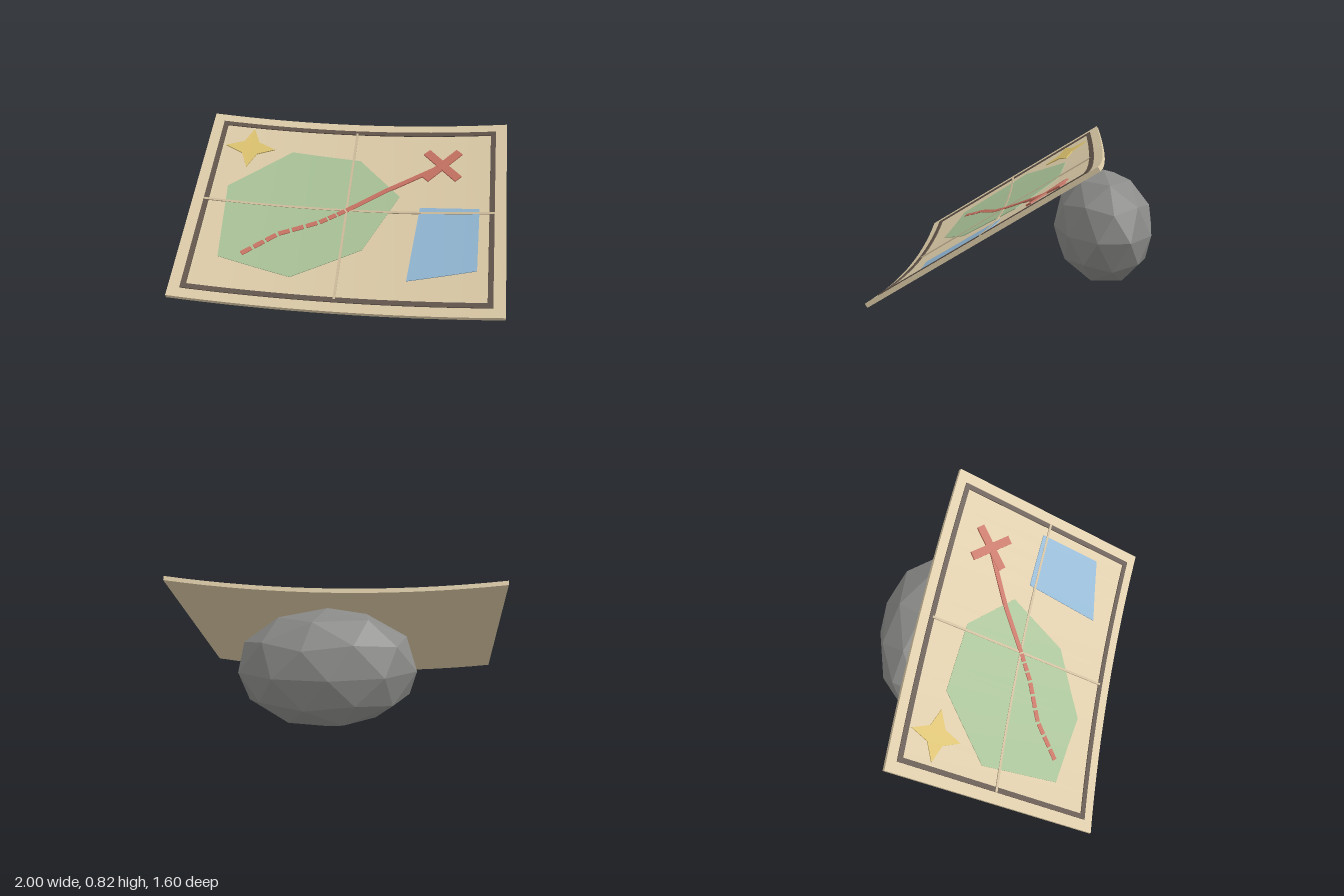
import * as THREE from 'three';

const mat = (name, color) => {
  const m = new THREE.MeshStandardMaterial({ color });
  m.name = name;
  return m;
};

const HALF_W = 0.937, HALF_D = 0.686, SAG = 0.06, COLUMNS = 16;
const bend = u => SAG * (u / HALF_W) ** 2;

// Curved slab: a polygon outline in (u, v) draped over the bent sheet between two heights
function drape(name, outline, top, bottom, material) {
  const us = outline.map(p => p[0]);
  const lo = Math.min(...us), hi = Math.max(...us);
  for (let i = 0; i <= COLUMNS; i++) {
    const u = -HALF_W + (2 * HALF_W * i) / COLUMNS;
    if (u > lo && u < hi) us.push(u);
  }
  us.sort((a, b) => a - b);
  const columns = us.filter((u, i) => i === 0 || u - us[i - 1] > 1e-4);

  // Cross-section of the slab at each column
  const rings = columns.map(u => {
    const vs = [];
    outline.forEach((p, i) => {
      const q = outline[(i + 1) % outline.length];
      if (u < Math.min(p[0], q[0]) - 1e-4 || u > Math.max(p[0], q[0]) + 1e-4) return;
      if (Math.abs(q[0] - p[0]) < 1e-4) vs.push(p[1], q[1]);
      else vs.push(p[1] + ((q[1] - p[1]) * (u - p[0])) / (q[0] - p[0]));
    });
    const a = Math.min(...vs), b = Math.max(...vs), y = bend(u);
    return [[a, top], [b, top], [b, bottom], [a, bottom]].map(([v, h]) => new THREE.Vector3(u, y + h, v));
  });

  const points = [];
  const quad = (a, b, c, d) => {
    for (const t of [[a, b, c], [a, c, d]]) {
      if (new THREE.Triangle(...t).getArea() > 1e-9) points.push(...t);
    }
  };
  for (let i = 0; i < rings.length - 1; i++) {
    for (let k = 0; k < 4; k++) {
      const n = (k + 1) % 4;
      quad(rings[i][k], rings[i][n], rings[i + 1][n], rings[i + 1][k]);
    }
  }
  const [s, e] = [rings[0], rings[rings.length - 1]];
  quad(s[3], s[2], s[1], s[0]);
  quad(e[0], e[1], e[2], e[3]);

  const geometry = new THREE.BufferGeometry().setFromPoints(points);
  geometry.computeVertexNormals();
  const mesh = new THREE.Mesh(geometry, material);
  mesh.name = name;
  return mesh;
}

const rect = (u0, v0, u1, v1) => [[u0, v0], [u1, v0], [u1, v1], [u0, v1]];

// Outline of a straight bar from p to q
function bar(p, q, width) {
  const du = q[0] - p[0], dv = q[1] - p[1];
  const k = width / 2 / Math.hypot(du, dv);
  const a = -dv * k, b = du * k;
  return [[p[0] + a, p[1] + b], [q[0] + a, q[1] + b], [q[0] - a, q[1] - b], [p[0] - a, p[1] - b]];
}

export function createModel() {
  const paper = mat('parchment', 0xd9c8a5);
  const crease = mat('crease beige', 0xcbb998);
  const ink = mat('dark ink', 0x5f5248);
  const green = mat('land green', 0xa6bf94);
  const blue = mat('water blue', 0x8fb4d0);
  const red = mat('route red', 0xc4705f);
  const gold = mat('star gold', 0xd9bf6c);
  const stone = mat('stone grey', 0x8a8a88);

  const model = new THREE.Group();
  const map = new THREE.Group();
  map.name = 'map';
  map.position.set(0.004, 0.411, 0.074);
  map.rotation.set(0.553, -0.123, 0, 'YXZ');
  model.add(map);
  const mark = (name, outline, height, material) => map.add(drape(name, outline, height, height - 0.0095, material));

  // Bent sheet
  map.add(drape('sheet', rect(-HALF_W, -HALF_D, HALF_W, HALF_D), 0, -0.025, paper));

  // Border frame
  const bu = 0.87, bv = 0.628, bw = 0.03;
  for (const s of [-1, 1]) {
    mark('borderLong', rect(-bu, s * (bv - bw / 2) - bw / 2, bu, s * (bv - bw / 2) + bw / 2), 0.006, ink);
    mark('borderShort', rect(s * (bu - bw / 2) - bw / 2, -bv + bw, s * (bu - bw / 2) + bw / 2, bv - bw), 0.006, ink);
  }

  // Land and water
  mark('land', [[-0.746, -0.116], [-0.392, -0.423], [0.043, -0.385], [0.308, -0.118],
    [0.122, 0.274], [-0.27, 0.487], [-0.703, 0.394]], 0.004, green);
  mark('water', [[0.435, -0.038], [0.783, -0.031], [0.779, 0.395], [0.391, 0.47]], 0.005, blue);

  // Fold creases
  mark('creaseAcross', rect(-0.872, -0.007, 0.872, 0.007), 0.007, crease);
  mark('creaseDown', rect(-0.007, -0.61, 0.007, 0.61), 0.0075, crease);

  // Four-pointed star
  const star = [];
  for (let i = 0; i < 8; i++) {
    const r = i % 2 ? 0.067 : 0.155, a = (i * Math.PI) / 4;
    star.push([-0.663 + r * Math.cos(a), -0.43 + r * Math.sin(a)]);
  }
  mark('star', star, 0.007, gold);

  // Route: dashes first, then a solid line
  const route = [[-0.572, 0.362], [-0.38, 0.203], [-0.149, 0.099], [0, 0.002], [0.228, -0.161], [0.53, -0.345]];
  for (let i = 0; i < route.length - 1; i++) {
    const [p, q] = [route[i], route[i + 1]];
    const at = t => [p[0] + (q[0] - p[0]) * t, p[1] + (q[1] - p[1]) * t];
    const n = i < 3 ? 3 : 1;
    for (let k = 0; k < n; k++) {
      mark('route', bar(at(k / n), at((k + (n > 1 ? 0.82 : 1)) / n), 0.028), 0.009, red);
    }
  }

  // Cross at the end of the route
  for (const s of [-1, 1]) {
    mark('cross', bar([0.552 - 0.1, -0.358 - s * 0.105], [0.552 + 0.1, -0.358 + s * 0.105], 0.052), 0.0115 + s * 0.0005, red);
  }

  // Faceted boulder standing on one vertex
  const rockGeometry = new THREE.IcosahedronGeometry(1, 1);
  rockGeometry.rotateZ(-Math.atan(2 / (1 + Math.sqrt(5))));
  rockGeometry.scale(0.505, 0.333, 0.292);
  rockGeometry.computeVertexNormals();
  const rock = new THREE.Mesh(rockGeometry, stone);
  rock.name = 'boulder';
  rock.position.set(0.1, 0.333, -0.512);
  model.add(rock);

  return model;
}
